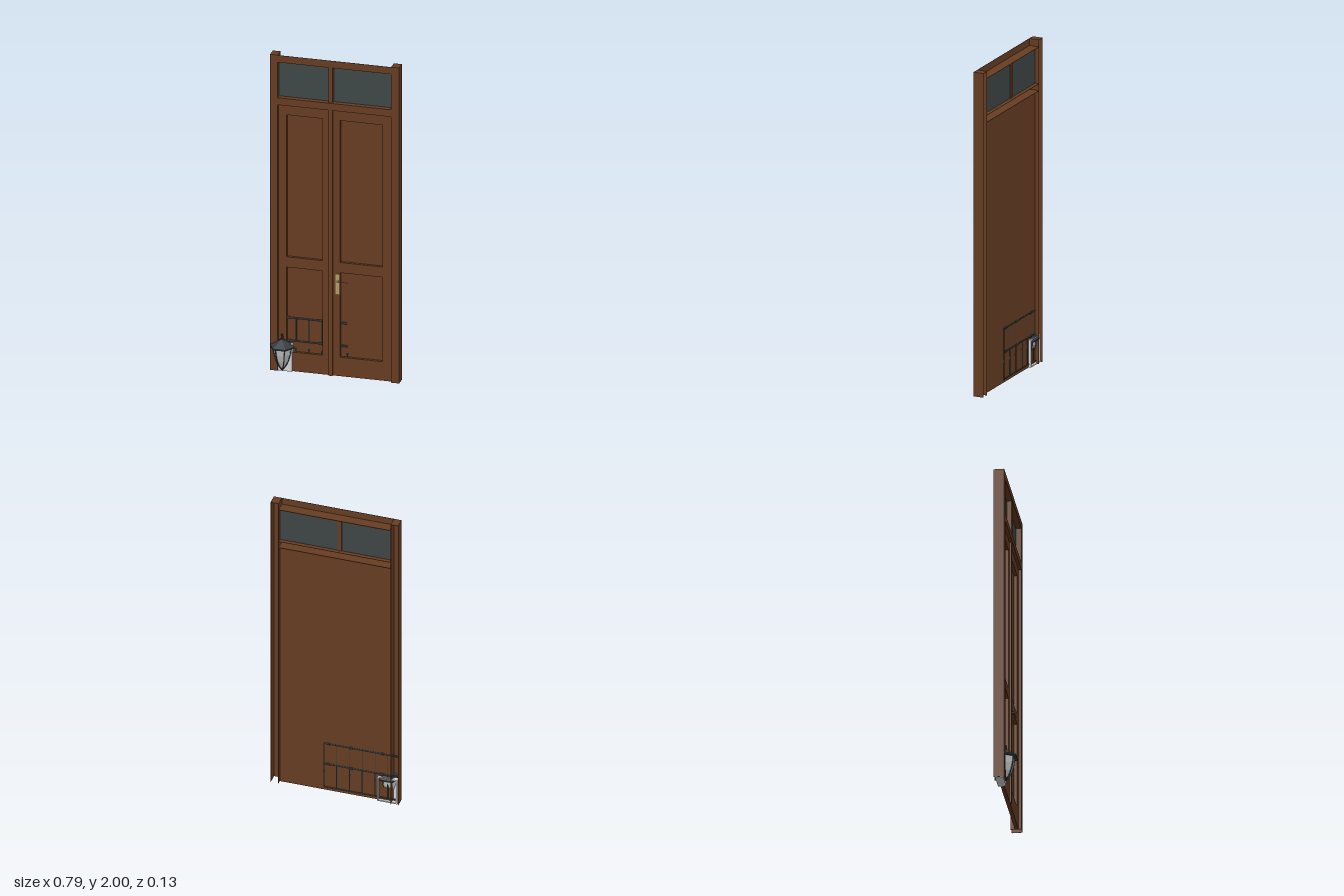
import * as THREE from 'three';

const mat = (name, color, extra = {}) => {
  const m = new THREE.MeshStandardMaterial({ color, ...extra });
  m.name = name;
  return m;
};

export function createModel() {
  const wood = mat('brown wood', 0x673d22, { side: THREE.DoubleSide });
  const pane = mat('dark glass', 0x3f4747);
  const iron = mat('dark iron', 0x343d40, { flatShading: true });
  const brass = mat('brass', 0xb59c6c);
  const white = mat('white plaster', 0xd6d6d6);
  const lampGlass = mat('lamp glass', 0xbcbec0, { flatShading: true });

  const root = new THREE.Group();
  root.name = 'doorway';
  const group = (name) => {
    const g = new THREE.Group();
    g.name = name;
    root.add(g);
    return g;
  };
  const add = (parent, name, geo, material) => {
    const m = new THREE.Mesh(geo, material);
    m.name = name;
    parent.add(m);
    return m;
  };
  // Box given by its two limits on each axis
  const box = (parent, name, material, x0, x1, y0, y1, z0, z1) => {
    const m = add(parent, name, new THREE.BoxGeometry(x1 - x0, y1 - y0, z1 - z0), material);
    m.position.set((x0 + x1) / 2, (y0 + y1) / 2, (z0 + z1) / 2);
    return m;
  };
  // Round bar between two points
  const bar = (parent, name, material, a, b, r, sides = 8) => {
    const p = new THREE.Vector3(...a), q = new THREE.Vector3(...b);
    const d = q.clone().sub(p);
    const m = add(parent, name, new THREE.CylinderGeometry(r, r, d.length(), sides), material);
    m.position.copy(p).add(q).multiplyScalar(0.5);
    m.quaternion.setFromUnitVectors(new THREE.Vector3(0, 1, 0), d.normalize());
    return m;
  };

  const L = -0.35, R = 0.345, B = -0.065, t = 0.002;

  // Frame: posts are channels open at the back
  const frame = group('frame');
  for (const [x0, x1] of [[-0.397, L], [R, 0.395]]) {
    box(frame, 'postFront', wood, x0, x1, 0, 2, -t, 0);
    box(frame, 'postSide', wood, x0, x0 + t, 0, 2, B, -t);
    box(frame, 'postSide', wood, x1 - t, x1, 0, 2, B, -t);
    box(frame, 'postCap', wood, x0, x1, 2 - t, 2, B, -t);
  }
  // Header and transom, also open at the back
  box(frame, 'headerFront', wood, L, R, 1.955, 2, -t, 0);
  box(frame, 'headerSoffit', wood, L, R, 1.955, 1.955 + t, B, -t);
  box(frame, 'transomFront', wood, L, R, 1.685, 1.73, -t, 0);
  box(frame, 'transomSill', wood, L, R, 1.73 - t, 1.73, B, -t);
  box(frame, 'transomSoffit', wood, L, R, 1.685, 1.685 + t, B, -t);

  // Fanlight with its mullion
  const fan = group('fanlight');
  box(fan, 'mullion', wood, -0.04, -0.015, 1.73, 1.955, -0.045, -0.005);
  box(fan, 'leftPane', pane, -0.015, R, 1.73, 1.955, -0.04, -0.034);
  box(fan, 'rightPane', pane, L, -0.04, 1.73, 1.955, -0.04, -0.034);

  // Door leaves: stiles and rails cut around recessed panels
  const rect = (Type, x0, x1, y0, y1) =>
    new Type([[x0, y0], [x1, y0], [x1, y1], [x0, y1]].map(([x, y]) => new THREE.Vector2(x, y)));
  const leaves = group('doorLeaves');
  const leafData = [['rightLeaf', L, -0.04, -0.30, -0.08], ['leftLeaf', -0.015, R, 0.028, 0.287]];
  for (const [name, x0, x1, p0, p1] of leafData) {
    const shape = rect(THREE.Shape, x0, x1, 0, 1.685);
    shape.holes.push(rect(THREE.Path, p0, p1, 0.12, 0.655), rect(THREE.Path, p0, p1, 0.72, 1.62));
    const geo = new THREE.ExtrudeGeometry(shape, { depth: 0.018, bevelEnabled: false });
    add(leaves, name, geo, wood).position.z = -0.036;
  }
  box(leaves, 'panelSheet', wood, L, R, 0, 1.685, -0.04, -0.036);
  box(leaves, 'meetingStile', wood, -0.04, -0.015, 0, 1.685, -0.036, -0.006);

  // Handle
  const handle = group('handle');
  box(handle, 'handlePlate', brass, 0.001, 0.027, 0.52, 0.647, -0.018, -0.011);
  bar(handle, 'handleSpindle', brass, [0.016, 0.605, -0.012], [0.016, 0.605, 0.005], 0.005);
  bar(handle, 'handleLever', brass, [0.014, 0.605, 0.003], [0.083, 0.605, 0.005], 0.003);

  // Iron railing running through the lower panels
  const rail = group('railing');
  const rz = -0.037;
  for (const y of [0.33, 0.185]) {
    bar(rail, 'railingBar', iron, [-0.39, y, rz], [0.072, y, rz], 0.006);
  }
  bar(rail, 'railingFoot', iron, [-0.39, 0.02, rz - 0.004], [0.072, 0.02, rz - 0.004], 0.004);
  for (let i = 0; i < 6; i++) {
    const x = 0.07 - i * 0.079;
    const z = i === 0 ? rz - 0.003 : rz;
    bar(rail, 'railingUpright', iron, [x, 0.185, z], [x, 0.33, z], 0.004, 6);
    bar(rail, 'railingUpright', iron, [x, 0.02, rz - 0.004], [x, 0.185, rz - 0.004], 0.004, 6);
    bar(rail, 'railingCollar', iron, [x, 0.122, rz], [x, 0.14, rz], 0.007, 6);
  }
  for (const x of [-0.29, -0.095, 0.045]) {
    for (const y of [0.33, 0.185]) {
      bar(rail, 'railingKnuckle', iron, [x - 0.01, y, rz], [x + 0.01, y, rz], 0.009);
    }
  }

  // White plinth behind the lantern, hollow at the back
  const plinth = group('plinth');
  box(plinth, 'plinthFace', white, -0.39, -0.262, 0, 0.17, -0.012, -0.006);
  for (const x of [-0.39, -0.27]) box(plinth, 'plinthSide', white, x, x + 0.008, 0, 0.17, -0.055, -0.012);
  for (const y of [0, 0.162]) box(plinth, 'plinthEdge', white, -0.39, -0.262, y, y + 0.008, -0.055, -0.012);

  // Six-sided lantern
  const lantern = group('lantern');
  lantern.position.x = -0.322;
  const lathe = (name, material, pts) => {
    const geo = new THREE.LatheGeometry(pts.map(([r, y]) => new THREE.Vector2(r, y)), 6);
    geo.rotateY(Math.PI / 6);
    return add(lantern, name, geo, material);
  };
  const body = [[0.001, 0.012], [0.018, 0.03], [0.036, 0.065], [0.049, 0.11], [0.055, 0.155]];
  lathe('lanternGlass', lampGlass, body);
  lathe('lanternRoof', iron, [[0, 0.152], [0.075, 0.152], [0.075, 0.16], [0.018, 0.197], [0.014, 0.204], [0, 0.204]]);
  lathe('lanternFinial', iron, [[0, 0.2], [0.006, 0.2], [0.004, 0.212], [0.008, 0.22], [0.004, 0.237], [0, 0.239]]);
  lathe('lanternTip', iron, [[0, 0.003], [0.006, 0.008], [0.01, 0.02], [0, 0.024]]);
  // Ribs follow the corners of the glass
  for (let i = 0; i < 6; i++) {
    const a = (i * Math.PI) / 3;
    const curve = new THREE.CatmullRomCurve3(
      body.map(([r, y]) => new THREE.Vector3(r * Math.cos(a), y, r * Math.sin(a))));
    add(lantern, 'lanternRib', new THREE.TubeGeometry(curve, 10, 0.0035, 5), iron);
  }

  return root;
}
